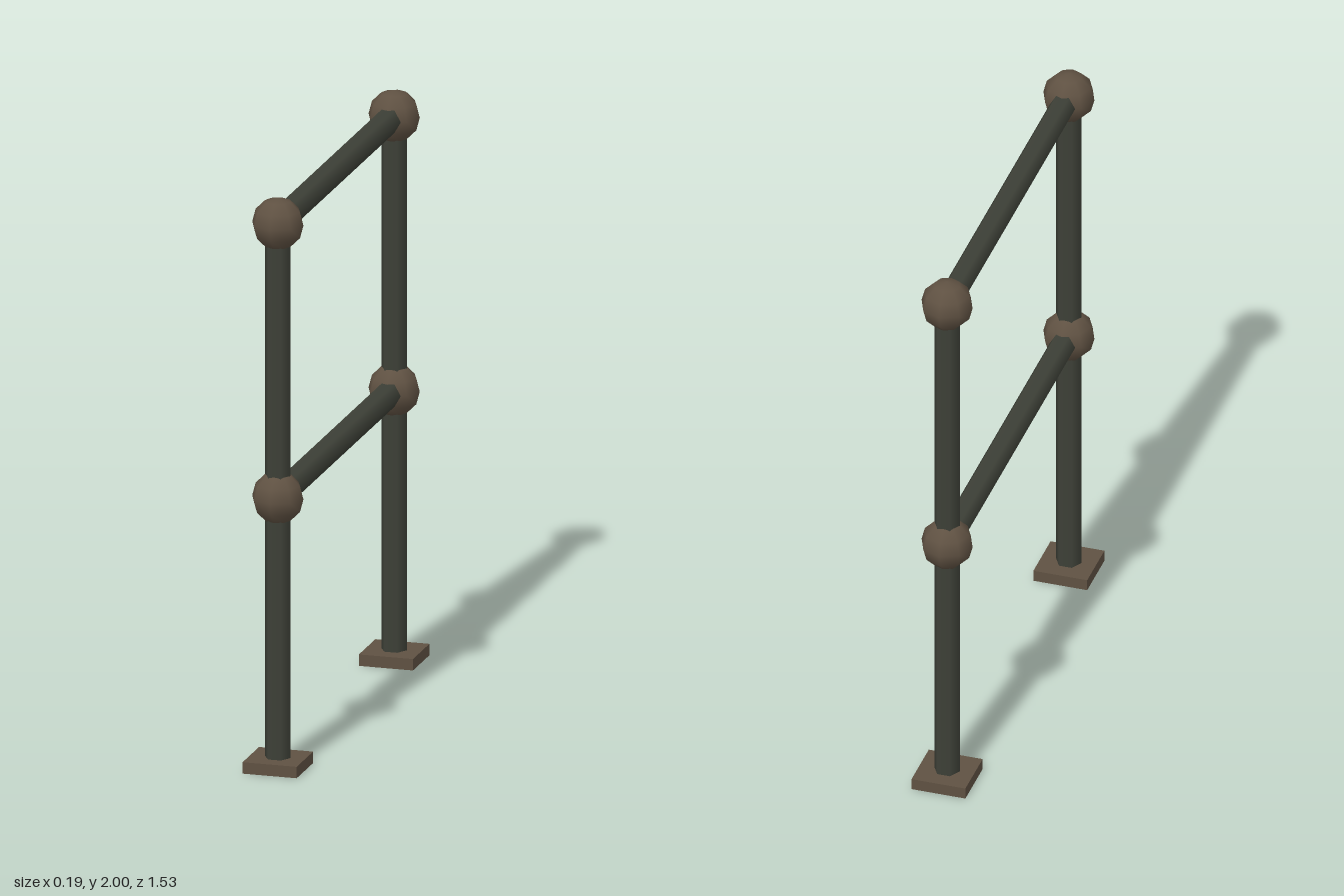
import * as THREE from 'three';

export function createModel() {
  const model = new THREE.Group();
  model.name = 'railing';

  const pipeMaterial = new THREE.MeshStandardMaterial({ color: 0x3e4138 });
  pipeMaterial.name = 'dark green iron';
  const jointMaterial = new THREE.MeshStandardMaterial({ color: 0x5f5142 });
  jointMaterial.name = 'brown iron';

  const endZ = 0.67;           // distance of each post from the middle
  const railHeights = [0.95, 1.91];
  const topY = railHeights[1];

  function add(name, geometry, material, y, z) {
    const mesh = new THREE.Mesh(geometry, material);
    mesh.name = name;
    mesh.position.set(0, y, z);
    model.add(mesh);
  }

  // Six-sided pipe with corners towards +x and -x
  const pipe = (length) =>
    new THREE.CylinderGeometry(0.045, 0.045, length, 6, 1, false, Math.PI / 6);

  const postGeometry = pipe(topY - 0.02);
  const railGeometry = pipe(endZ * 2).rotateX(Math.PI / 2);
  const jointGeometry = new THREE.SphereGeometry(0.09, 8, 6);
  const baseGeometry = new THREE.BoxGeometry(0.19, 0.04, 0.19);

  // Posts with base plates and ball joints
  for (const [side, z] of [['front', endZ], ['back', -endZ]]) {
    add(side + 'Post', postGeometry, pipeMaterial, topY / 2 + 0.01, z);
    add(side + 'BasePlate', baseGeometry, jointMaterial, 0.02, z);
    railHeights.forEach((y, i) =>
      add(side + (i ? 'TopJoint' : 'MiddleJoint'), jointGeometry, jointMaterial, y, z));
  }

  // Horizontal rails
  railHeights.forEach((y, i) =>
    add(i ? 'topRail' : 'middleRail', railGeometry, pipeMaterial, y, 0));

  return model;
}
